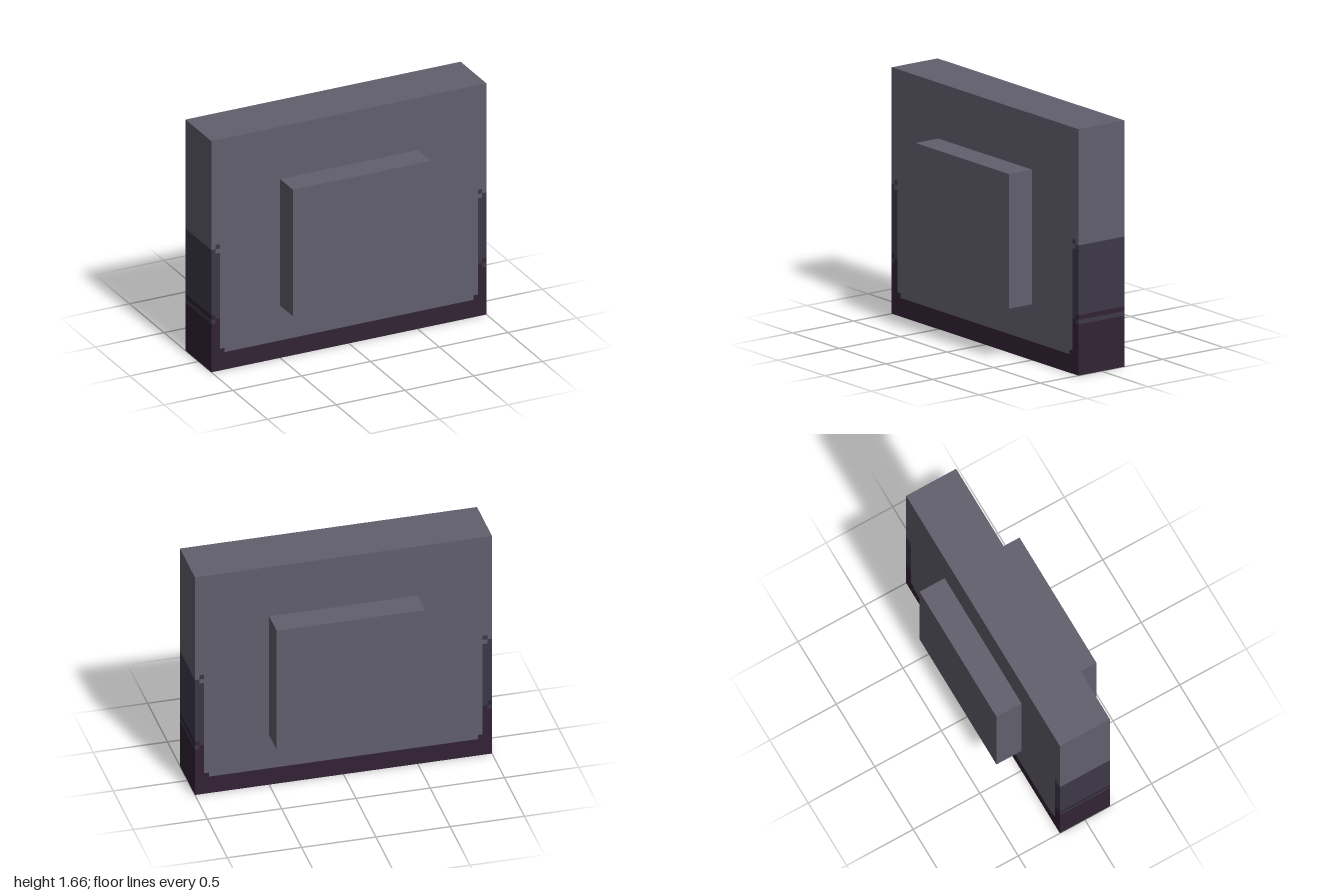
import * as THREE from 'three';
import { mergeGeometries } from 'three/addons/utils/BufferGeometryUtils.js';

const U = 1 / 32;                      // one pixel cell of the painted pattern
const HALF = 32, HEIGHT = 53, DEPTH = 12;
const COLORS = { stone: 0x615f6d, shade: 0x3c3848, base: 0x322234 };

// Cells of the large faces: [from edge x0, y0, x1, y1]; x1 = HALF spans the full width
const FACE = {
  stone: [[3, 4, HALF, 5], [2, 5, HALF, HEIGHT], [1, 27, 2, 28], [0, 28, 1, 29], [0, 29, 2, HEIGHT]],
  shade: [[0, 11, 1, 12], [1, 12, 2, 13], [0, 13, 2, 27], [0, 27, 1, 28], [1, 28, 2, 29]],
  base: [[0, 0, HALF, 4], [2, 4, 3, 5], [0, 4, 2, 11], [1, 11, 2, 12], [0, 12, 1, 13]],
};
// Horizontal bands on the narrow ends: [y0, y1]
const ENDS = {
  stone: [[28, HEIGHT]],
  shade: [[11, 12], [13, 28]],
  base: [[0, 11], [12, 13]],
};

function rect(w, h, x, y, z, rx = 0, ry = 0) {
  return new THREE.PlaneGeometry(w * U, h * U).rotateX(rx).rotateY(ry).translate(x * U, y * U, z * U);
}

export function createModel() {
  const model = new THREE.Group();
  const slab = new THREE.Group();
  slab.name = 'slab';
  model.add(slab);

  for (const name of Object.keys(COLORS)) {
    const parts = [];
    // Front and back faces, mirrored left to right
    for (const [x0, y0, x1, y1] of FACE[name]) {
      const full = x1 === HALF;
      const w = full ? 2 * (HALF - x0) : x1 - x0;
      const cx = full ? 0 : HALF - (x0 + x1) / 2;
      for (const x of full ? [0] : [cx, -cx]) {
        parts.push(rect(w, y1 - y0, x, (y0 + y1) / 2, DEPTH / 2));
        parts.push(rect(w, y1 - y0, x, (y0 + y1) / 2, -DEPTH / 2, 0, Math.PI));
      }
    }
    // Narrow ends
    for (const [y0, y1] of ENDS[name]) {
      for (const s of [1, -1]) {
        parts.push(rect(DEPTH, y1 - y0, s * HALF, (y0 + y1) / 2, 0, 0, s * Math.PI / 2));
      }
    }
    // Top and underside
    if (name === 'stone') parts.push(rect(2 * HALF, DEPTH, 0, HEIGHT, 0, -Math.PI / 2));
    if (name === 'base') parts.push(rect(2 * HALF, DEPTH, 0, 0, 0, Math.PI / 2));

    const mesh = new THREE.Mesh(mergeGeometries(parts), new THREE.MeshStandardMaterial({ color: COLORS[name] }));
    mesh.name = name + 'Surface';
    slab.add(mesh);
  }

  // Raised panel passing through the slab, standing out front and back
  const panel = new THREE.Mesh(
    new THREE.BoxGeometry(32 * U, 29 * U, 24 * U),
    new THREE.MeshStandardMaterial({ color: COLORS.stone })
  );
  panel.name = 'raisedPanel';
  panel.position.y = 26.5 * U;
  model.add(panel);

  return model;
}
